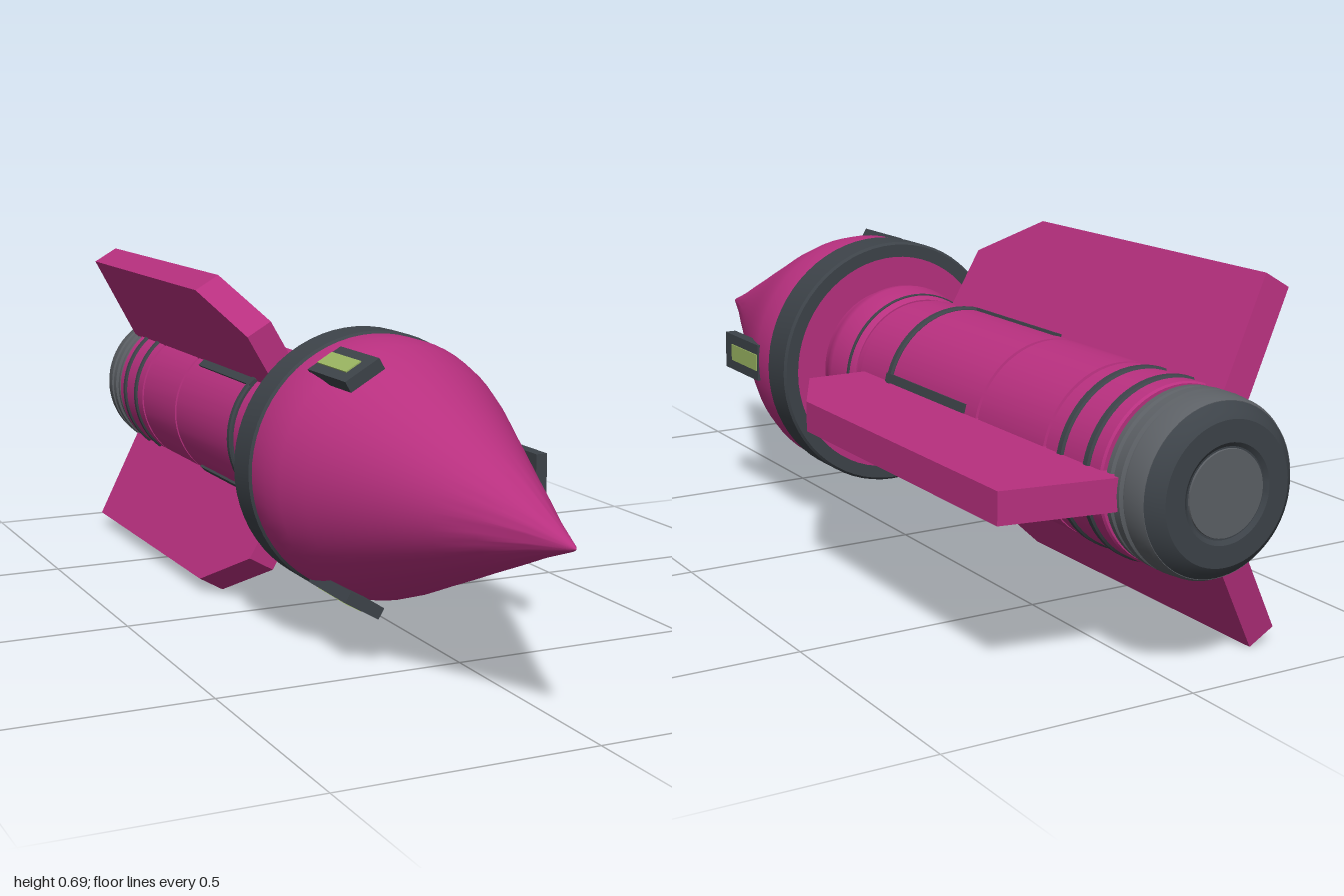
import * as THREE from 'three';
import { toCreasedNormals } from 'three/addons/utils/BufferGeometryUtils.js';

const material = (color) => new THREE.MeshStandardMaterial({ color });

export function createModel() {
  const pink = material(0xb8307f);
  const dark = material(0x3d4349);
  const grey = material(0x5c6065);
  const green = material(0x9bb562);

  const model = new THREE.Group();
  model.name = 'rocket';
  // Everything is arranged around the long axis, which runs along z
  const axis = new THREE.Group();
  axis.name = 'rocketAxis';
  axis.position.set(-0.058, 0.346, 0);
  model.add(axis);

  function add(parent, name, geometry, mat) {
    const mesh = new THREE.Mesh(geometry, mat);
    mesh.name = name;
    parent.add(mesh);
    return mesh;
  }

  // Turned part from [z, radius] pairs, running from back to front
  function turned(name, profile, mat) {
    const points = profile.map(([z, r]) => new THREE.Vector2(r, z));
    const geometry = new THREE.LatheGeometry(points, 64).rotateX(Math.PI / 2);
    return add(axis, name, toCreasedNormals(geometry, 0.5), mat);
  }

  // Band with a small bevel on both edges
  function band(name, z0, z1, inner, outer, mat, bevel = 0.004) {
    return turned(name, [
      [z0, inner], [z0, outer - bevel], [z0 + bevel, outer],
      [z1 - bevel, outer], [z1, outer - bevel], [z1, inner],
    ], mat);
  }

  // Nose cone with its recessed back
  turned('noseCone', [
    [0.17, 0], [0.17, 0.255], [0.24, 0.262], [0.305, 0.262], [0.35, 0.252],
    [0.42, 0.228], [0.5, 0.196], [0.6, 0.157], [0.7, 0.117], [0.8, 0.078],
    [0.9, 0.038], [0.99, 0.006], [1, 0],
  ], pink);
  band('noseBand', 0.155, 0.24, 0.235, 0.267, dark, 0.005);

  // Collar between nose and body
  turned('collar', [
    [0.035, 0.15], [0.035, 0.16], [0.045, 0.166], [0.06, 0.168],
    [0.11, 0.178], [0.13, 0.176], [0.15, 0.165], [0.18, 0.16],
  ], pink);
  band('collarGroove', 0.05, 0.058, 0.15, 0.1695, dark, 0.001);

  // Body with two shallow grooves
  const body = [[-0.865, 0], [-0.865, 0.163], [-0.86, 0.166]];
  for (const z of [-0.69, -0.46]) {
    body.push([z - 0.005, 0.166], [z - 0.004, 0.161], [z + 0.004, 0.161], [z + 0.005, 0.166]);
  }
  body.push([-0.12, 0.166], [-0.115, 0.162], [0.01, 0.162], [0.014, 0.157], [0.05, 0.157]);
  turned('body', body, pink);
  band('frontBand', -0.13, -0.11, 0.15, 0.171, dark);
  band('rearBand', -0.75, -0.73, 0.15, 0.17, dark);
  band('rearBand', -0.83, -0.81, 0.15, 0.17, dark);

  // Engine with stepped rings and a dark end
  turned('engine', [
    [-0.975, 0.1], [-0.975, 0.157], [-0.965, 0.162], [-0.932, 0.165],
    [-0.928, 0.159], [-0.922, 0.159], [-0.918, 0.165], [-0.9, 0.165],
    [-0.896, 0.158], [-0.89, 0.158], [-0.886, 0.163], [-0.875, 0.163],
    [-0.87, 0.155], [-0.85, 0.155],
  ], grey);
  turned('engineEnd', [
    [-0.994, 0], [-0.994, 0.082], [-1, 0.09], [-1, 0.13], [-0.992, 0.142],
    [-0.975, 0.156], [-0.965, 0.156],
  ], dark);
  turned('engineNozzle', [[-0.997, 0], [-0.997, 0.078], [-0.99, 0.08]], grey);

  // Fin outline in (radius, z), extruded to its thickness
  const outline = [[0.13, -0.005], [0.287, -0.005], [0.381, -0.18], [0.381, -0.88], [0.163, -0.912], [0.13, -0.912]];
  const finShape = new THREE.Shape(outline.map(([r, z]) => new THREE.Vector2(r, z)));
  const finGeometry = new THREE.ExtrudeGeometry(finShape, { depth: 0.06, bevelEnabled: false })
    .translate(0, 0, -0.03)
    .rotateX(Math.PI / 2);
  const stripGeometry = new THREE.BoxGeometry(0.016, 0.018, 0.305);
  const frameGeometry = new THREE.BoxGeometry(0.024, 0.08, 0.17);
  const windowGeometry = new THREE.BoxGeometry(0.01, 0.036, 0.13);

  // Three equal sectors, each with fin, strips beside it and a window
  for (let i = 0; i < 3; i++) {
    const sector = new THREE.Group();
    sector.name = 'sector';
    sector.rotation.z = (i * Math.PI * 2) / 3;
    axis.add(sector);

    add(sector, 'fin', finGeometry, pink);
    for (const side of [-1, 1]) {
      const angle = side * 0.24;
      const strip = add(sector, 'sideStrip', stripGeometry, dark);
      strip.position.set(0.163 * Math.cos(angle), 0.163 * Math.sin(angle), -0.2625);
      strip.rotation.z = angle;
    }
    add(sector, 'windowFrame', frameGeometry, dark).position.set(0.253, 0, 0.38);
    add(sector, 'window', windowGeometry, green).position.set(0.2625, 0, 0.364);
  }

  return model;
}
